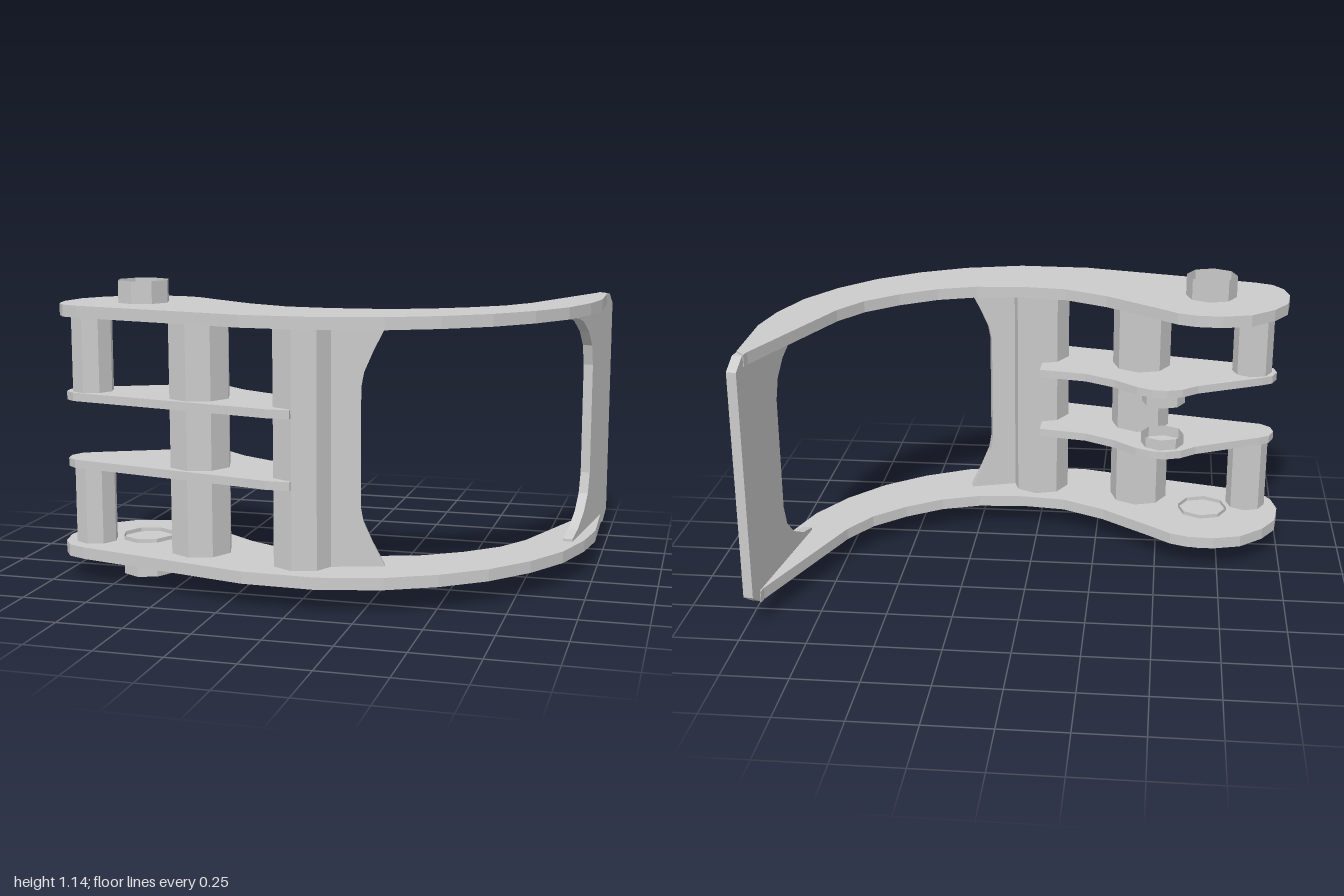
import * as THREE from 'three';

const material = new THREE.MeshStandardMaterial({ color: 0xcccccc, flatShading: true });
const openMaterial = new THREE.MeshStandardMaterial({ color: 0xcccccc, flatShading: true, side: THREE.DoubleSide });

const MID = 0.5725; // the bracket mirrors about this height

function extrude(points, depth) {
  const shape = new THREE.Shape(points.map(([a, b]) => new THREE.Vector2(a, b)));
  return new THREE.ExtrudeGeometry(shape, { depth, bevelEnabled: false });
}

// Horizontal plate from an [x, z] outline
function plate(name, outline, y0, y1) {
  const geo = extrude(outline.map(([x, z]) => [x, -z]), y1 - y0).rotateX(-Math.PI / 2);
  const mesh = new THREE.Mesh(geo, material);
  mesh.name = name;
  mesh.position.y = y0;
  return mesh;
}

// Eight-sided upright post, or an open sleeve
function post(name, x, z, r, y0, y1, open = false) {
  const geo = new THREE.CylinderGeometry(r, r, y1 - y0, 8, 1, open);
  const mesh = new THREE.Mesh(geo, open ? openMaterial : material);
  mesh.name = name;
  mesh.position.set(x, (y0 + y1) / 2, z);
  mesh.rotation.y = -0.09;
  return mesh;
}

// Upright panel whose upper-half [u, y] profile is mirrored downward
function panel(name, upper, thickness) {
  const lower = upper.map(([u, y]) => [u, 2 * MID - y]).reverse();
  const mesh = new THREE.Mesh(extrude([...upper, ...lower], thickness), material);
  mesh.name = name;
  return mesh;
}

const ARM = [
  [-1, 0.32], [-0.985, 0.2], [-0.93, 0.11], [-0.84, 0.03], [-0.73, 0], [-0.63, 0.005],
  [-0.56, 0.03], [-0.47, 0.1], [-0.28, 0.24], [-0.11, 0.325], [0.06, 0.345], [0.25, 0.33],
  [0.4, 0.28], [0.54, 0.19], [0.66, 0.08], [0.74, -0.05], [0.94, -0.59], [0.945, -0.62],
  [0.98, -0.58], [0.987, -0.27], [0.96, -0.1], [0.9, 0.09], [0.8, 0.26], [0.67, 0.41],
  [0.51, 0.53], [0.33, 0.62], [0.1, 0.678], [-0.18, 0.67], [-0.87, 0.5], [-0.94, 0.47], [-0.98, 0.41],
];

const RIB = [
  [-0.01, 0.3], [-0.2, 0.265], [-0.32, 0.2], [-0.41, 0.125], [-0.47, 0.095], [-0.53, 0.09],
  [-0.59, 0.11], [-0.65, 0.16], [-0.91, 0.285], [-0.95, 0.31], [-0.97, 0.36], [-0.96, 0.41],
  [-0.92, 0.445], [-0.18, 0.61], [-0.1, 0.63], [-0.01, 0.63],
];

export function createModel() {
  const model = new THREE.Group();
  model.name = 'curvedBracket';

  // Curved side plates and the two inner ribs
  model.add(
    plate('lowerArmPlate', ARM, 0.09, 0.135),
    plate('upperArmPlate', ARM, 1.01, 1.055),
    plate('lowerRib', RIB, 0.43, 0.462),
    plate('upperRib', RIB, 0.688, 0.72),
  );

  // Full-height columns
  model.add(
    post('middleColumn', -0.42, 0.42, 0.118, 0.13, 1.015),
    post('innerColumn', 0.003, 0.5, 0.118, 0.13, 1.015),
  );

  // Short columns joining each rib to its plate
  model.add(
    post('lowerEndColumn', -0.87, 0.366, 0.08, 0.13, 0.435),
    post('upperEndColumn', -0.87, 0.366, 0.08, 0.715, 1.015),
  );

  // Open pivot sleeves through the plates and on the ribs
  model.add(
    post('lowerPivotSleeve', -0.69, 0.285, 0.1, 0, 0.15, true),
    post('upperPivotSleeve', -0.69, 0.285, 0.1, 0.995, 1.14, true),
    post('lowerRibSleeve', -0.515, 0.19, 0.086, 0.455, 0.505, true),
    post('upperRibSleeve', -0.515, 0.19, 0.086, 0.64, 0.695, true),
  );

  // End wall with a scooped inner edge and chamfered tip
  const wall = panel('endWall', [
    [0.345, 0.79], [0.32, 0.87], [0.26, 0.93], [0.16, 0.98], [0.07, 1.0], [0.07, 1.015],
    [0.56, 1.015], [0.57, 1.05], [0.625, 1.05], [0.685, 1.008],
  ], 0.037);
  wall.rotation.y = Math.PI / 2 - 0.125;
  wall.position.x = 0.872;
  model.add(wall);

  // Flared web beside the inner column
  const web = panel('innerWeb', [
    [0, 1.012], [0.21, 1.012], [0.165, 0.925], [0.13, 0.845], [0.12, 0.79],
  ], 0.04);
  web.rotation.y = 0.29;
  web.position.set(0.09, 0, 0.49);
  model.add(web);

  return model;
}
